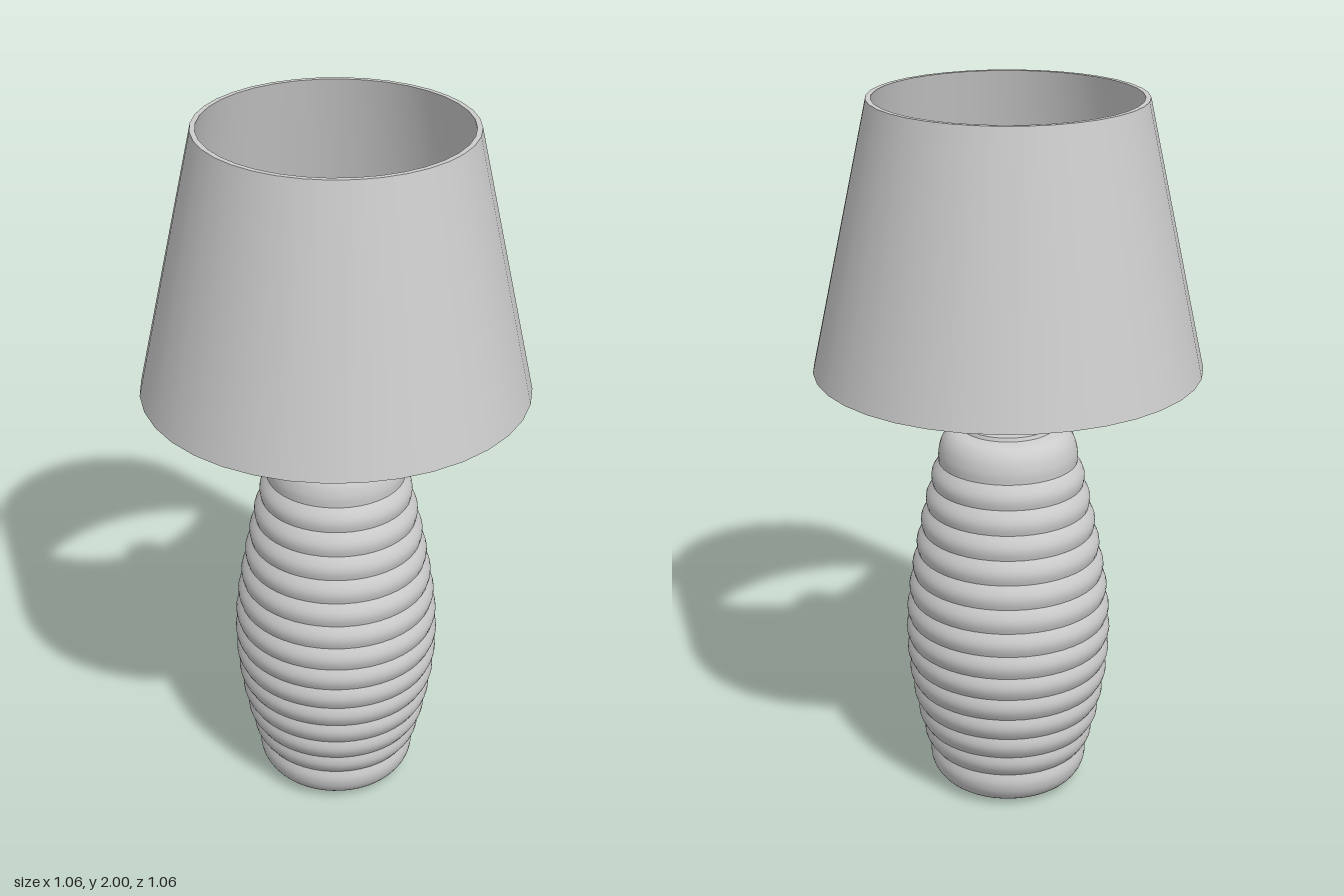
import * as THREE from 'three';

const material = new THREE.MeshStandardMaterial({ color: 0xcccccc });
const v = (r, y) => new THREE.Vector2(r, y);

function lathe(name, points, segments = 48) {
  const mesh = new THREE.Mesh(new THREE.LatheGeometry(points, segments), material);
  mesh.name = name;
  return mesh;
}

// Smooth profile through [radius, height] pairs
function smooth(pairs, steps = 20) {
  const curve = new THREE.SplineCurve(pairs.map(([r, y]) => v(r, y)));
  return curve.getPoints(steps).map(p => v(Math.max(p.x, 0), p.y));
}

// Body: stacked rounded ribs, with a crease at every groove
function createBody() {
  const body = new THREE.Group();
  body.name = 'body';
  const grooves = [0.22, 0.24, 0.255, 0.267, 0.276, 0.28, 0.28, 0.274, 0.265, 0.253, 0.24, 0.226, 0.21, 0.193];
  const bottom = 0.11, top = 0.99;
  const step = (top - bottom) / (grooves.length - 1);
  for (let i = 0; i < grooves.length - 1; i++) {
    const points = [];
    for (let k = 0; k <= 6; k++) {
      const t = k / 6;
      const r = THREE.MathUtils.lerp(grooves[i], grooves[i + 1], t);
      points.push(v(r + 0.011 * Math.sin(Math.PI * t), bottom + (i + t) * step));
    }
    body.add(lathe('rib', points));
  }
  // Rounded foot with a dimple underneath
  body.add(lathe('foot', smooth([
    [0, 0.055], [0.03, 0.04], [0.06, 0.015], [0.10, 0.002], [0.145, 0],
    [0.19, 0.014], [0.217, 0.045], [0.226, 0.08], [0.22, 0.11],
  ], 32)));
  // Rounded shoulder and the flat collar on top
  body.add(lathe('shoulder', smooth([
    [0.193, 0.99], [0.193, 1.02], [0.183, 1.055], [0.162, 1.08], [0.13, 1.09],
  ])));
  body.add(lathe('collarSide', [v(0.13, 1.088), v(0.126, 1.1)]));
  body.add(lathe('collarTop', [v(0.126, 1.1), v(0, 1.1)]));
  return body;
}

// Stem, socket and bulb
function createFitting() {
  const fitting = new THREE.Group();
  fitting.name = 'lightFitting';
  fitting.add(lathe('stem', [v(0.015, 1.09), v(0.015, 1.24)], 20));
  fitting.add(lathe('socket', [
    v(0, 1.23), v(0.054, 1.23), v(0.063, 1.233), v(0.069, 1.24), v(0.071, 1.25), v(0.071, 1.39),
  ], 32));
  fitting.add(lathe('socketRim', [v(0.071, 1.39), v(0, 1.39)], 32));
  const bulb = smooth([[0.062, 1.39], [0.056, 1.415], [0.064, 1.445], [0.078, 1.468]], 10);
  for (let k = 0; k <= 14; k++) {
    const a = THREE.MathUtils.lerp(-0.42, Math.PI / 2, k / 14);
    bulb.push(v(Math.max(0.091 * Math.cos(a), 0), 1.51 + 0.091 * Math.sin(a)));
  }
  fitting.add(lathe('bulb', bulb, 32));
  return fitting;
}

// Tapered shade, open at both ends, with a thin wall
function createShade() {
  const shade = new THREE.Group();
  shade.name = 'shade';
  const y0 = 1.265, y1 = 2;
  const outer = [0.53, 0.37], inner = [0.516, 0.356];
  shade.add(lathe('shadeOutside', [v(outer[0], y0), v(outer[1], y1)], 36));
  shade.add(lathe('shadeTopRim', [v(outer[1], y1), v(inner[1], y1)], 36));
  shade.add(lathe('shadeInside', [v(inner[1], y1), v(inner[0], y0)], 36));
  shade.add(lathe('shadeBottomRim', [v(inner[0], y0), v(outer[0], y0)], 36));
  return shade;
}

export function createModel() {
  const lamp = new THREE.Group();
  lamp.name = 'tableLamp';
  lamp.add(createBody(), createFitting(), createShade());
  return lamp;
}
